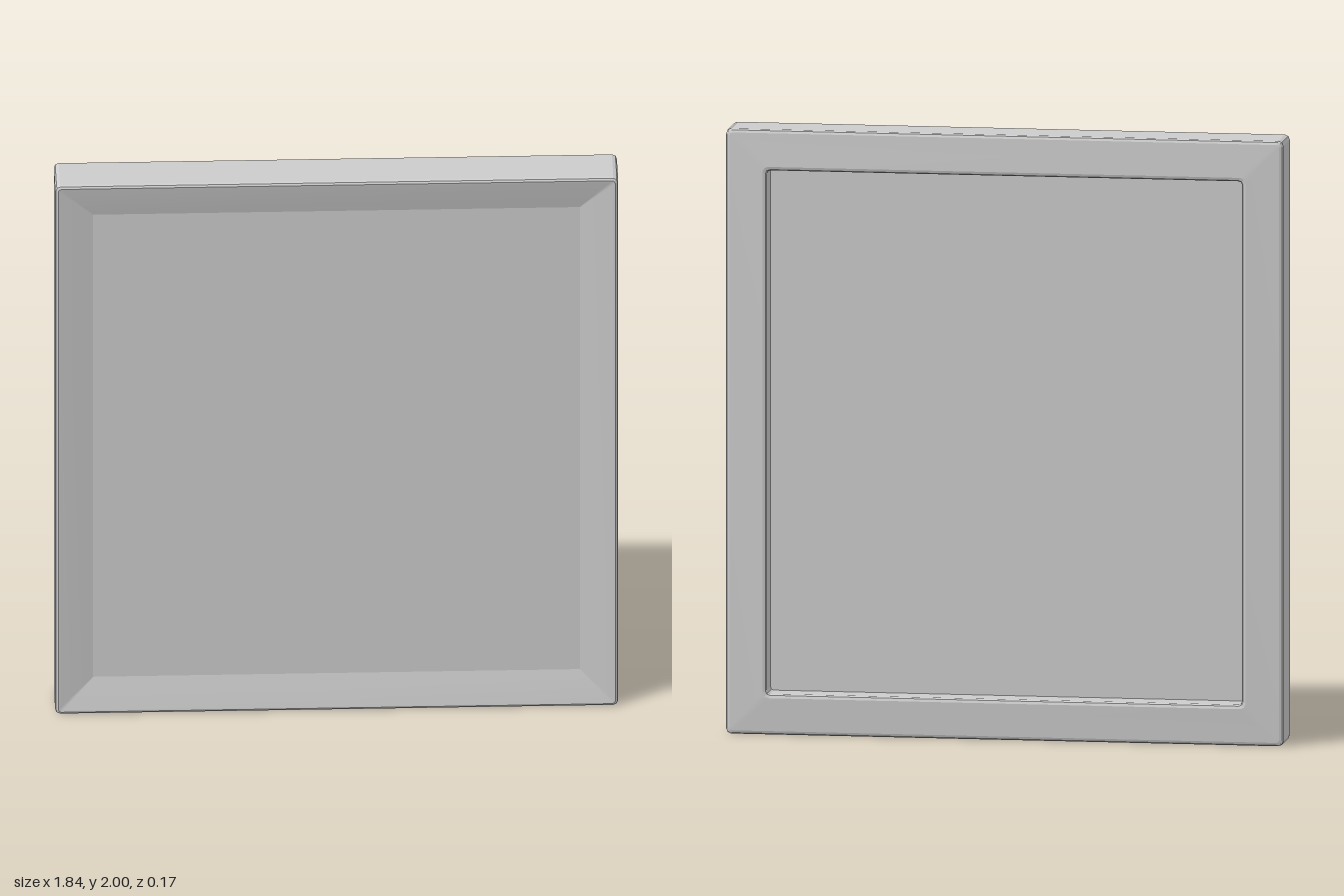
import * as THREE from 'three';
import { toCreasedNormals } from 'three/addons/utils/BufferGeometryUtils.js';

const HALF_W = 0.92, HALF_H = 1;

// Frame section from the front inner lip, round the outside, into the back recess:
// [inset from outer edge, z, corner radius]
const SECTION = [
  [0.125, 0.055, 0.001],
  [0.016, 0.084, 0.008],
  [0.010, 0.085, 0.010],
  [0.003, 0.081, 0.014],
  [0.000, 0.073, 0.016],
  [0.000, -0.068, 0.016],
  [0.004, -0.074, 0.014],
  [0.012, -0.077, 0.010],
  [0.122, -0.085, 0.018],
  [0.131, -0.082, 0.015],
  [0.135, -0.073, 0.012],
  [0.135, 0.005, 0.012],
];

// Rounded rectangle, counter-clockwise from the front
function ring([inset, z, r]) {
  const points = [];
  const corners = [[1, 1], [-1, 1], [-1, -1], [1, -1]];
  corners.forEach(([sx, sy], q) => {
    for (let s = 0; s <= 2; s++) {
      const a = (q + s / 2) * Math.PI / 2;
      points.push([
        sx * (HALF_W - inset - r) + r * Math.cos(a),
        1 + sy * (HALF_H - inset - r) + r * Math.sin(a),
        z,
      ]);
    }
  });
  return points;
}

// Skin between successive rings
function loft(rings) {
  const n = rings[0].length, index = [];
  for (let j = 0; j < rings.length - 1; j++) {
    for (let k = 0; k < n; k++) {
      const a = j * n + k, b = j * n + (k + 1) % n;
      index.push(a, a + n, b, b, a + n, b + n);
    }
  }
  const geometry = new THREE.BufferGeometry();
  geometry.setAttribute('position', new THREE.Float32BufferAttribute(rings.flat(2), 3));
  geometry.setIndex(index);
  return toCreasedNormals(geometry, 0.1);
}

export function createModel() {
  const group = new THREE.Group();
  group.name = 'framedPanel';
  const material = new THREE.MeshStandardMaterial({ color: 0xcccccc });

  // Bevelled surround, sloping in at the front and recessed at the back
  const frame = new THREE.Mesh(loft(SECTION.map(ring)), material);
  frame.name = 'frame';

  // Flat panel set into the frame
  const panel = new THREE.Mesh(new THREE.BoxGeometry(1.59, 1.75, 0.05), material);
  panel.name = 'panel';
  panel.position.set(0, 1, 0.03);

  group.add(frame, panel);
  return group;
}
